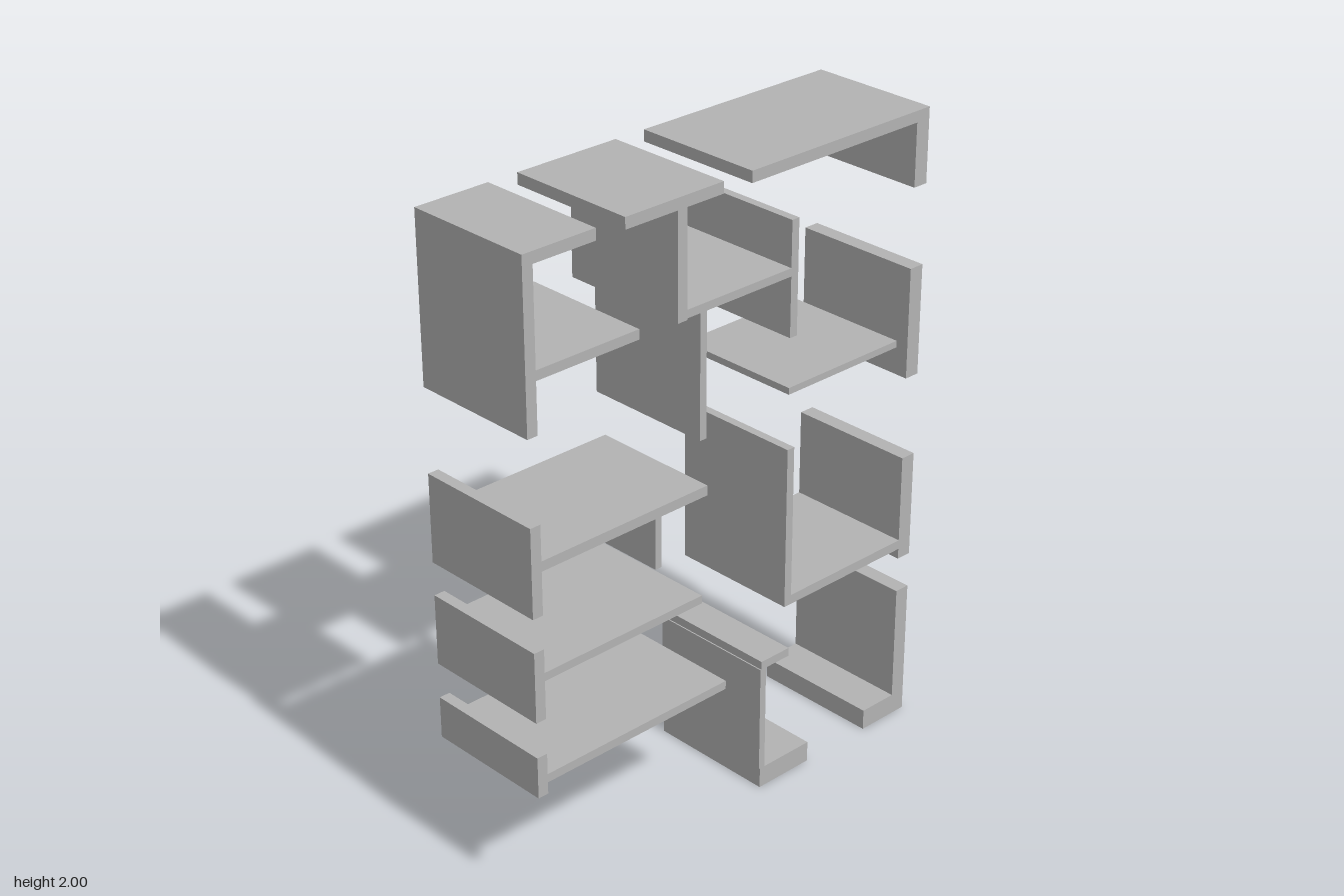
import * as THREE from 'three';

const DEPTH = 0.42;

// Each wall is [name, x0, x1, y0, y1] in plan, extruded along z
const WALLS = [
  // Outer walls, top edge
  ['topWallLeft', -0.75, -0.505, 1.965, 2],
  ['topWallMiddle', -0.405, -0.055, 1.965, 2],
  ['topWallRight', 0.05, 0.75, 1.965, 2],
  // Outer walls, -x side
  ['sideWallA', -0.75, -0.715, 1.488, 1.965],
  ['sideWallB', -0.75, -0.715, 0.952, 1.228],
  ['sideWallC', -0.75, -0.715, 0.625, 0.847],
  ['sideWallD', -0.75, -0.715, 0.38, 0.512],
  // Outer walls, +x side
  ['farWallA', 0.70, 0.75, 1.77, 1.965],
  ['farWallB', 0.70, 0.75, 1.17, 1.52],
  ['farWallC', 0.70, 0.75, 0.56, 0.905],
  ['farWallD', 0.70, 0.75, 0, 0.445],
  // Outer walls, bottom edge
  ['bottomWallLeft', 0.115, 0.32, 0, 0.067],
  ['bottomWallRight', 0.57, 0.70, 0, 0.067],
  // Partitions joined to the -x side
  ['partitionA', -0.715, -0.36, 1.643, 1.673],
  ['partitionB', -0.715, -0.11, 1.086, 1.117],
  ['partitionBStub', -0.307, -0.284, 0.927, 1.086],
  ['partitionC', -0.715, -0.13, 0.746, 0.772],
  ['partitionD', -0.715, -0.032, 0.417, 0.444],
  // Upper middle room
  ['middleRoomSide', -0.221, -0.186, 1.643, 1.965],
  ['middleRoomFloor', -0.186, 0.206, 1.648, 1.673],
  ['middleRoomEnd', 0.206, 0.233, 1.462, 1.815],
  ['middleRoomDrop', -0.139, -0.115, 1.265, 1.648],
  // Rooms on the +x side
  ['freePartition', 0.206, 0.652, 1.287, 1.308],
  ['cornerRoomSide', 0.206, 0.233, 0.594, 1.112],
  ['cornerRoomFloor', 0.233, 0.70, 0.594, 0.624],
  // Entrance
  ['entranceSide', 0.111, 0.134, 0.067, 0.417],
  ['entranceCap', 0.115, 0.228, 0.417, 0.444],
];

export function createModel() {
  const group = new THREE.Group();
  group.name = 'floorPlanWalls';
  const wallGrey = new THREE.MeshStandardMaterial({ color: 0xb3b3b3 });
  wallGrey.name = 'wallGrey';
  for (const [name, x0, x1, y0, y1] of WALLS) {
    const wall = new THREE.Mesh(new THREE.BoxGeometry(x1 - x0, y1 - y0, DEPTH), wallGrey);
    wall.name = name;
    wall.position.set((x0 + x1) / 2, (y0 + y1) / 2, 0);
    group.add(wall);
  }
  return group;
}
